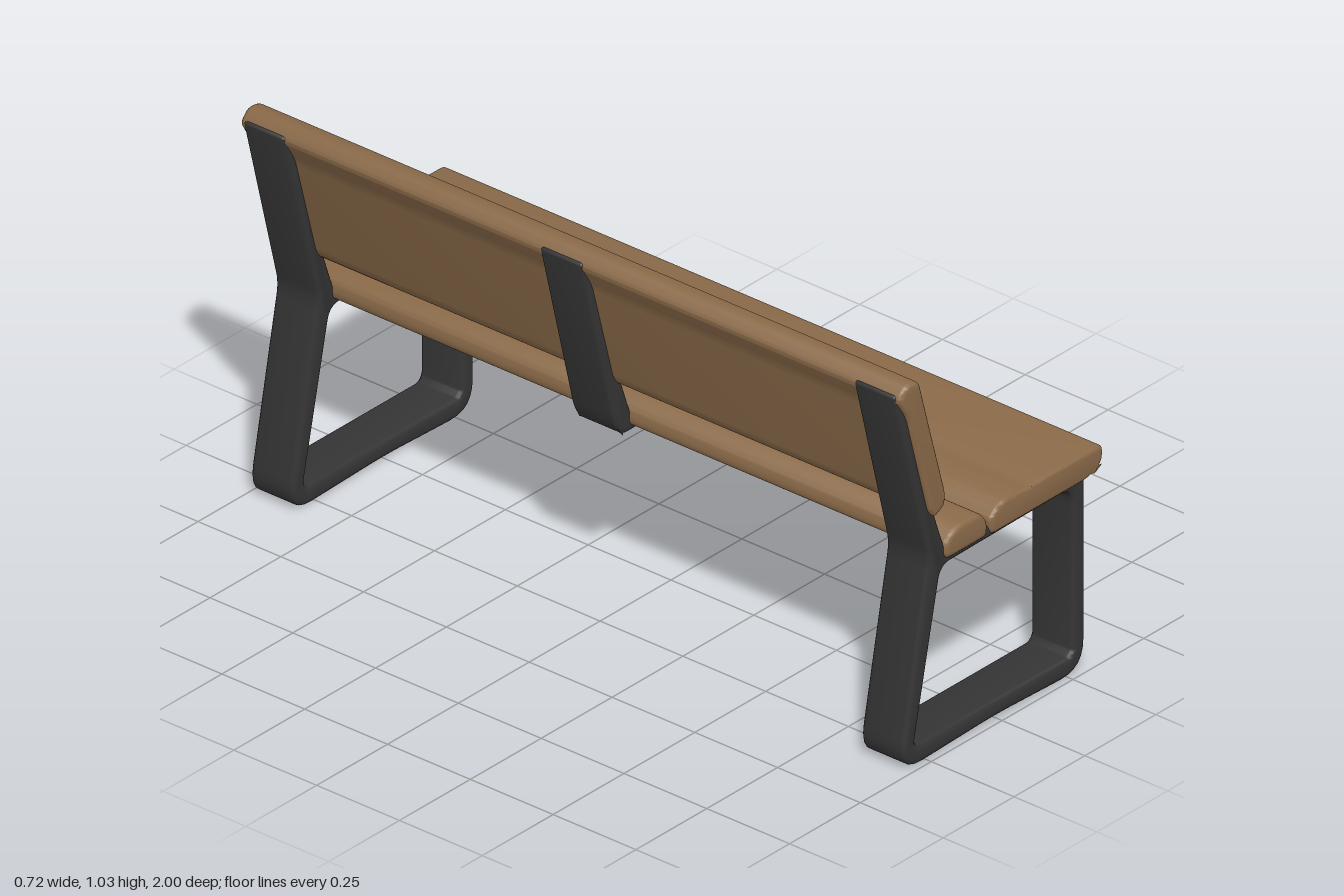
import * as THREE from 'three';
import { toCreasedNormals } from 'three/addons/utils/BufferGeometryUtils.js';

const wood = new THREE.MeshStandardMaterial({ color: 0x8a6a49 });
wood.name = 'brown wood';
const metal = new THREE.MeshStandardMaterial({ color: 0x343434 });
metal.name = 'dark metal';

// Closed outline through [x, y, cornerRadius] points, with rounded corners
function rounded(points, path) {
  const n = points.length;
  points.forEach(([x, y, r], i) => {
    const corner = new THREE.Vector2(x, y);
    const toward = (p) => new THREE.Vector2(p[0], p[1]).sub(corner).setLength(r).add(corner);
    const a = toward(points[(i + n - 1) % n]);
    const b = toward(points[(i + 1) % n]);
    if (i === 0) path.moveTo(a.x, a.y);
    else path.lineTo(a.x, a.y);
    path.quadraticCurveTo(x, y, b.x, b.y);
  });
  path.closePath();
  return path;
}

// Side profile extruded along z with softened edges, centred on z
function profile(name, points, width, z, material, bevel, hole) {
  const shape = rounded(points, new THREE.Shape());
  if (hole) shape.holes.push(rounded(hole, new THREE.Path()));
  const geometry = new THREE.ExtrudeGeometry(shape, {
    depth: width - 2 * bevel, curveSegments: 6, bevelEnabled: true,
    bevelThickness: bevel, bevelSize: bevel, bevelOffset: -bevel, bevelSegments: 3,
  });
  geometry.translate(0, 0, z - width / 2 + bevel);
  const mesh = new THREE.Mesh(toCreasedNormals(geometry, 0.7), material);
  mesh.name = name;
  return mesh;
}

export function createModel() {
  const bench = new THREE.Group();
  bench.name = 'bench';

  // End frames: leg loop and leaning back upright in one piece
  const frame = [
    [-0.345, 0.003, 0.085], [0, 0.014, 0.06], [0.31, 0.003, 0.085], [0.31, 0.53, 0.02],
    [-0.18, 0.53, 0.02], [-0.222, 0.65, 0.03], [-0.31, 1.005, 0.015],
    [-0.362, 1.01, 0.015], [-0.24, 0.53, 0.03],
  ];
  const opening = [
    [-0.292, 0.055, 0.025], [0.267, 0.055, 0.025], [0.267, 0.498, 0.045], [-0.196, 0.492, 0.03],
  ];
  for (const [name, z] of [['leftFrame', 0.922], ['rightFrame', -0.922]]) {
    bench.add(profile(name, frame, 0.13, z, metal, 0.012, opening));
  }

  // Short centre bracket: upright with a foot under the rear plank
  bench.add(profile('centreBracket', [
    [-0.215, 0.495, 0.02], [-0.02, 0.497, 0.01], [-0.02, 0.53, 0.01], [-0.18, 0.53, 0.02],
    [-0.222, 0.65, 0.03], [-0.31, 1.005, 0.015], [-0.362, 1.01, 0.015], [-0.242, 0.53, 0.03],
  ], 0.13, -0.025, metal, 0.01));

  // Thin rails beneath the seat
  for (const [name, x, width] of [['frontRail', 0.235, 0.07], ['rearRail', -0.09, 0.04]]) {
    const rail = new THREE.Mesh(new THREE.BoxGeometry(width, 0.014, 1.8), metal);
    rail.position.set(x, 0.506, 0);
    rail.name = name;
    bench.add(rail);
  }

  // Rear seat plank
  bench.add(profile('rearSeatPlank', [
    [-0.195, 0.508, 0.025], [-0.045, 0.508, 0.015], [-0.04, 0.545, 0.015],
    [-0.065, 0.58, 0.02], [-0.15, 0.582, 0.025], [-0.19, 0.555, 0.015],
  ], 1.99, 0, wood, 0.012));

  // Wide front seat plank with a shallow groove and a rounded nose
  bench.add(profile('frontSeatPlank', [
    [-0.03, 0.506, 0.015], [0.32, 0.506, 0.03], [0.363, 0.53, 0.02], [0.366, 0.578, 0.022],
    [0.15, 0.58, 0.03], [0.11, 0.575, 0.012], [0.07, 0.58, 0.02],
    [0.005, 0.581, 0.025], [-0.035, 0.55, 0.015],
  ], 1.99, 0, wood, 0.01));

  // Leaning backrest plank
  bench.add(profile('backrestPlank', [
    [-0.232, 0.638, 0.012], [-0.195, 0.658, 0.012], [-0.191, 0.69, 0.015],
    [-0.242, 0.87, 0.03], [-0.285, 1.025, 0.018], [-0.33, 1.034, 0.02],
    [-0.36, 1.0, 0.014], [-0.325, 0.94, 0.02], [-0.25, 0.665, 0.012],
  ], 1.995, 0, wood, 0.012));

  return bench;
}
